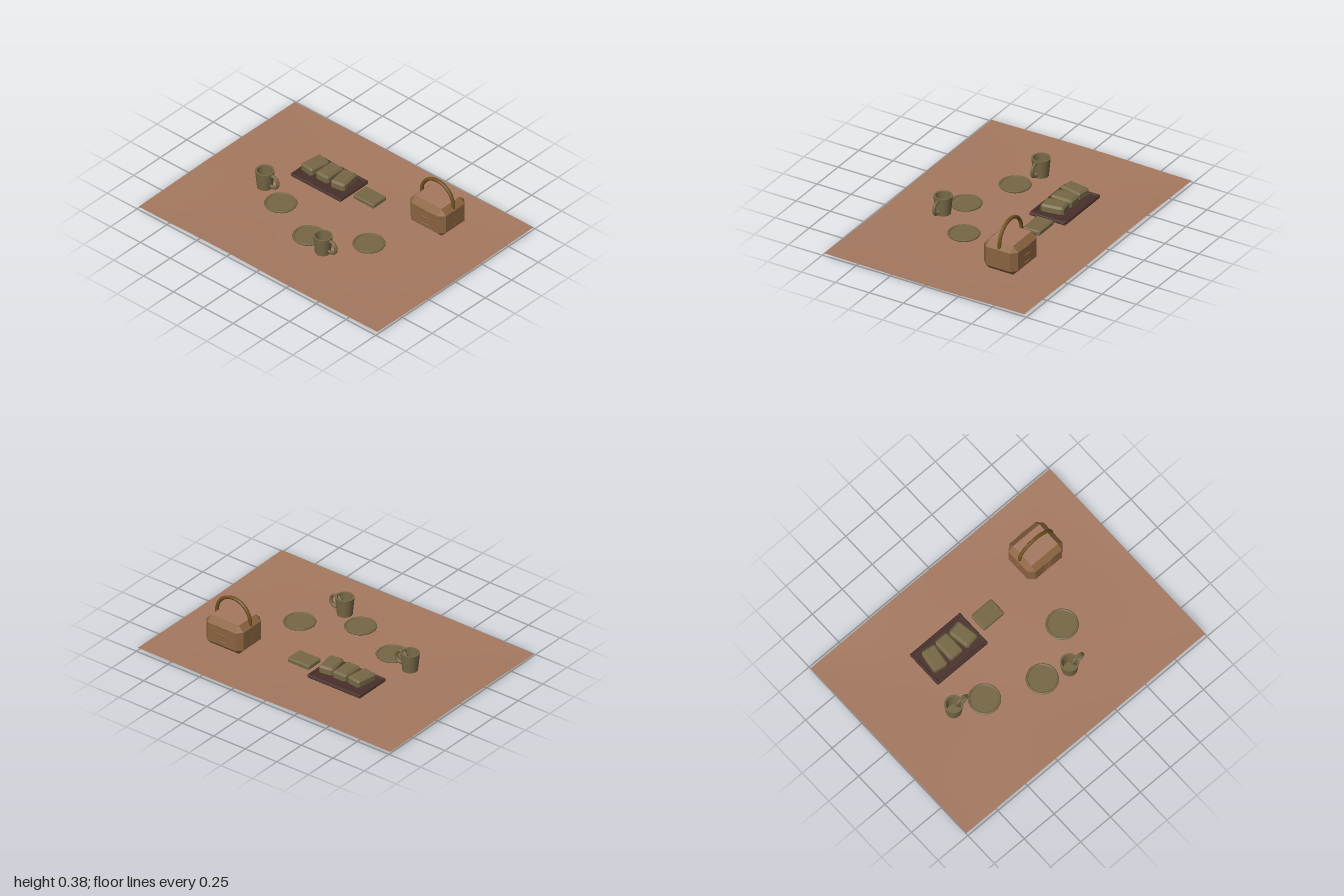
import * as THREE from 'three';
import { ConvexGeometry } from 'three/addons/geometries/ConvexGeometry.js';

const material = (name, color, side = THREE.FrontSide) => {
  const m = new THREE.MeshStandardMaterial({ color, side });
  m.name = name;
  return m;
};

// Box with flat chamfers on every edge
function chamferBox(w, h, d, c) {
  const points = [];
  for (const sx of [-1, 1]) for (const sy of [-1, 1]) for (const sz of [-1, 1]) {
    const x = w / 2, y = h / 2, z = d / 2;
    for (const [px, py, pz] of [[x, y - c, z - c], [x - c, y, z - c], [x - c, y - c, z]]) {
      points.push(new THREE.Vector3(sx * px, sy * py, sz * pz));
    }
  }
  return new ConvexGeometry(points);
}

const lathe = (profile, sides) =>
  new THREE.LatheGeometry(profile.map(([r, y]) => new THREE.Vector2(r, y)), sides);

export function createModel() {
  const root = new THREE.Group();
  root.name = 'picnic';
  const cloth = material('terracotta cloth', 0xa5785f, THREE.DoubleSide);
  const wicker = material('wicker brown', 0x8b6340);
  const handleMat = material('dark gold wicker', 0x70511f);
  const olive = material('olive ceramic', 0x766745);
  const wood = material('dark wood', 0x48302a);

  const add = (parent, name, geometry, mat, x = 0, y = 0, z = 0) => {
    const mesh = new THREE.Mesh(geometry, mat);
    mesh.name = name;
    mesh.position.set(x, y, z);
    parent.add(mesh);
    return mesh;
  };
  const group = (name, x, y, z) => {
    const g = new THREE.Group();
    g.name = name;
    g.position.set(x, y, z);
    root.add(g);
    return g;
  };

  // Softly rippled blanket, lifting slightly toward its edges
  const sheet = new THREE.PlaneGeometry(2, 1.47, 32, 24).rotateX(-Math.PI / 2);
  const p = sheet.attributes.position;
  for (let i = 0; i < p.count; i++) {
    const x = p.getX(i), z = p.getZ(i);
    const lift = Math.max(x ** 4, (z / 0.735) ** 4);
    p.setY(i, 0.005 + 0.004 * Math.sin(5 * x) * Math.cos(4 * z) + 0.01 * lift);
  }
  sheet.computeVertexNormals();
  add(root, 'blanket', sheet, cloth);

  // Basket: chamfered body, cloth top, woven bands and arched handle
  const basket = group('basket', 0.54, 0, -0.35);
  add(basket, 'basketBody', chamferBox(0.295, 0.205, 0.25, 0.037), wicker, 0, 0.148, 0);
  add(basket, 'basketCloth', new THREE.BoxGeometry(0.22, 0.004, 0.175), cloth, 0, 0.25, 0);
  for (const y of [0.105, 0.155, 0.21]) {
    const band = new THREE.TorusGeometry(0.145, 0.006, 6, 24).rotateX(Math.PI / 2);
    add(basket, 'basketBand', band.scale(1, 1, 0.87), wicker, 0, y, 0);
  }
  add(basket, 'basketHandle', new THREE.TorusGeometry(0.132, 0.012, 8, 20, Math.PI), handleMat, 0, 0.238, 0);
  for (const side of [-1, 1]) {
    add(basket, 'handleFoot', new THREE.CylinderGeometry(0.012, 0.012, 0.04, 8), handleMat, side * 0.132, 0.22, 0);
  }

  // Plates with raised rims
  for (const [x, z] of [[-0.33, 0.15], [0.03, 0.29], [0.365, 0.1]]) {
    const plate = group('plate', x, 0, z);
    add(plate, 'plateDish', new THREE.CylinderGeometry(0.098, 0.09, 0.015, 24), olive, 0, 0.0395, 0);
    const rim = new THREE.TorusGeometry(0.097, 0.008, 6, 24).rotateX(Math.PI / 2);
    add(plate, 'plateRim', rim, olive, 0, 0.046, 0);
  }

  // Hollow mugs with ring handles on the left
  const mugProfile = [[0, 0.04], [0.05, 0.04], [0.062, 0.166], [0.05, 0.166], [0.04, 0.055], [0, 0.055]];
  for (const [x, z] of [[-0.525, 0.08], [0.203, 0.352]]) {
    const mug = group('mug', x, 0, z);
    // repeated profile corners keep the edges crisp
    for (let i = 0; i < mugProfile.length - 1; i++) {
      add(mug, 'mugWall', lathe([mugProfile[i], mugProfile[i + 1]], 18), olive);
    }
    add(mug, 'mugHandle', new THREE.TorusGeometry(0.042, 0.011, 8, 18), olive, 0.068, 0.108, 0);
  }

  // Serving board with a low rim
  const board = group('board', -0.275, 0, -0.248);
  add(board, 'boardBase', chamferBox(0.42, 0.018, 0.266, 0.006), wood, 0, 0.039, 0);
  for (const side of [-1, 1]) {
    add(board, 'boardLongRim', chamferBox(0.42, 0.012, 0.018, 0.004), wood, 0, 0.049, side * 0.124);
    add(board, 'boardShortRim', chamferBox(0.018, 0.012, 0.266, 0.004), wood, side * 0.201, 0.049, 0);
  }

  // Row of fanned sandwiches on the board
  for (const i of [-1, 0, 1]) {
    const sandwich = add(board, 'sandwich', chamferBox(0.105, 0.062, 0.158, 0.013), olive, i * 0.12, 0.086, 0);
    sandwich.rotation.y = i * 0.16;
  }

  // Folded napkin beside the board
  add(root, 'napkin', chamferBox(0.172, 0.034, 0.126, 0.007), olive, 0.055, 0.053, -0.255);

  return root;
}
